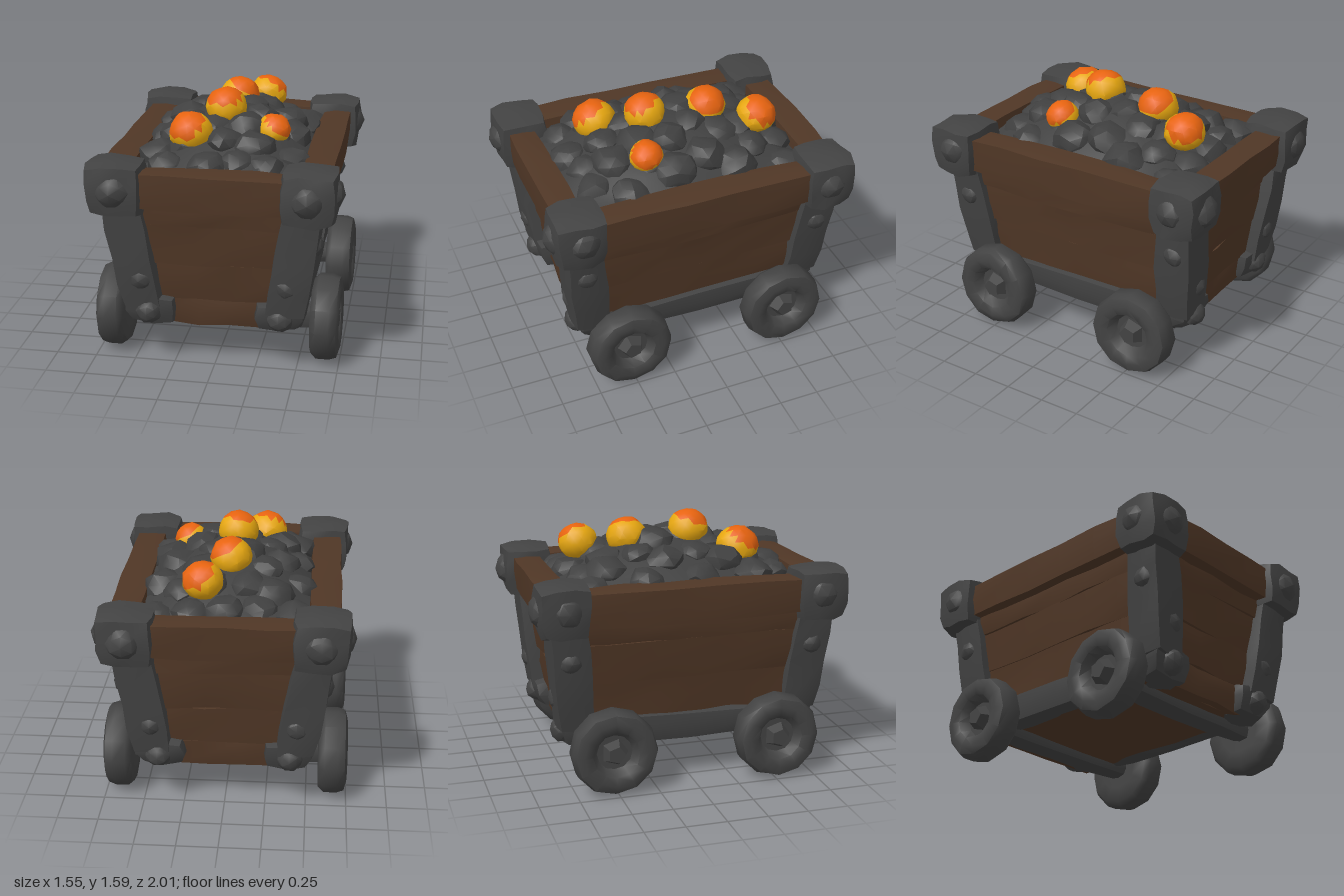
import * as THREE from 'three';
import { toCreasedNormals } from 'three/addons/utils/BufferGeometryUtils.js';

const material = (name, color) =>
  Object.assign(new THREE.MeshStandardMaterial({ color }), { name });

// Repeatable pseudo-random value in -1..1 for a point, so shared corners move together
function noise(x, y, z, seed) {
  const q = v => Math.round(v * 1000) / 1000;
  const s = Math.sin(q(x) * 127.1 + q(y) * 311.7 + q(z) * 74.7 + seed * 53.3) * 43758.5453;
  return (s - Math.floor(s)) * 2 - 1;
}

// Moves every vertex of a geometry by a rule, then creases its normals
function warp(geo, rule, crease = 0.7) {
  const flat = geo.index ? geo.toNonIndexed() : geo;
  const p = flat.attributes.position;
  for (let i = 0; i < p.count; i++) p.setXYZ(i, ...rule(p.getX(i), p.getY(i), p.getZ(i)));
  flat.deleteAttribute('uv');
  flat.deleteAttribute('normal');
  return toCreasedNormals(flat, crease);
}

// Worn, bevelled block between a bottom and a top rectangle: [x0, x1, z0, z1, y]
function blockGeometry(low, high, segs, bevel, rough, seed) {
  return warp(new THREE.BoxGeometry(1, 1, 1, ...segs), (x, y, z) => {
    const t = y + 0.5;
    const mix = i => THREE.MathUtils.lerp(low[i], high[i], t);
    const outer = [x, y, z].map(v => (Math.abs(v) > 0.499 ? Math.sign(v) : 0));
    const edges = outer.filter(v => v !== 0).length;
    const pull = edges > 1 ? bevel * (edges - 1) * 0.6 : 0;
    const at = [
      THREE.MathUtils.lerp(mix(0), mix(1), x + 0.5),
      mix(4),
      THREE.MathUtils.lerp(mix(2), mix(3), z + 0.5),
    ];
    return at.map((v, i) => v - outer[i] * pull + rough * noise(x, y, z, seed + i * 7));
  });
}

// Rounded rough stone
function stoneGeometry(radius, rough, seed, flatten = 1, detail = 1) {
  return warp(new THREE.IcosahedronGeometry(1, detail), (x, y, z) => {
    const r = radius * (1 + rough * noise(x, y, z, seed));
    return [x * r, y * r * flatten, z * r];
  }, 0.6);
}

export function createModel() {
  const model = new THREE.Group();
  model.name = 'mineCart';
  const wood = material('wood', 0x503726);
  const iron = material('iron', 0x434343);
  const coal = material('coal', 0x404040);
  const gold = material('gold', 0xe8a810);
  const ember = material('orange', 0xe86410);
  let seed = 1;

  const add = (name, geo, mat, x = 0, y = 0, z = 0) => {
    const mesh = new THREE.Mesh(geo, mat);
    mesh.name = name;
    mesh.position.set(x, y, z);
    model.add(mesh);
    return mesh;
  };
  // Mirrors a rectangle by the signs of x and z
  const flip = (r, sx, sz) => [
    Math.min(r[0] * sx, r[1] * sx), Math.max(r[0] * sx, r[1] * sx),
    Math.min(r[2] * sz, r[3] * sz), Math.max(r[2] * sz, r[3] * sz), r[4],
  ];
  const block = (name, mat, low, high, { sx = 1, sz = 1, segs = [2, 2, 2], bevel = 0.02, rough = 0.008 } = {}) =>
    add(name, blockGeometry(flip(low, sx, sz), flip(high, sx, sz), segs, bevel, rough, seed++), mat);

  // Inner lining and floor
  block('lining', iron, [-0.43, 0.43, -0.66, 0.66, 0.28], [-0.55, 0.55, -0.77, 0.77, 1.12], { rough: 0 });
  block('floor', wood, [-0.46, 0.46, -0.68, 0.68, 0.25], [-0.46, 0.46, -0.68, 0.68, 0.3],
    { segs: [3, 1, 5], rough: 0.006, bevel: 0.01 });

  // Overlapping plank walls, leaning outwards towards the top
  const sideX = y => 0.475 + (y - 0.25) * 0.175;
  const endZ = y => 0.72 + (y - 0.25) * 0.14;
  const seams = [0.25, 0.42, 0.66, 0.91, 1.07];
  for (const s of [-1, 1]) {
    for (let i = 0; i < 4; i++) {
      const a = seams[i], b = seams[i + 1] + 0.015;
      const xa = sideX(a), xb = sideX(b), za = endZ(a), zb = endZ(b);
      block('endPlank', wood, [-xa, xa, za - 0.1, za + 0.008, a], [-xb, xb, zb - 0.1, zb - 0.003, b],
        { sz: s, segs: [5, 2, 1], bevel: 0.008, rough: 0.01 });
      if (i > 0) {
        block('sidePlank', wood, [xa - 0.1, xa + 0.008, -za, za, a], [xb - 0.1, xb - 0.003, -zb, zb, b],
          { sx: s, segs: [1, 2, 6], bevel: 0.008, rough: 0.01 });
      }
    }
    // Wooden top rails and iron bottom rails
    block('endRail', wood, [-0.5, 0.5, 0.72, 0.905, 1.03], [-0.5, 0.5, 0.725, 0.915, 1.26],
      { sz: s, segs: [4, 2, 2], bevel: 0.012, rough: 0.006 });
    block('sideRail', wood, [0.49, 0.685, -0.72, 0.72, 1.03], [0.495, 0.695, -0.72, 0.72, 1.26],
      { sx: s, segs: [2, 2, 5], bevel: 0.012, rough: 0.006 });
    block('bottomRail', iron, [0.39, 0.54, -0.68, 0.68, 0.245], [0.4, 0.56, -0.68, 0.68, 0.43],
      { sx: s, segs: [2, 2, 4] });
    // Axle beam
    block('axle', iron, [-0.62, 0.62, 0.44, 0.61, 0.188], [-0.62, 0.62, 0.44, 0.61, 0.35],
      { sz: s, segs: [4, 2, 2], bevel: 0.025, rough: 0.005 });
  }

  // Corner irons: post, foot, cap and worn bumps
  for (const sx of [-1, 1]) {
    for (const sz of [-1, 1]) {
      const m = { sx, sz };
      block('cornerPost', iron, [0.305, 0.56, 0.59, 0.83, 0.36], [0.41, 0.665, 0.65, 0.895, 1.06],
        { ...m, segs: [2, 4, 2], bevel: 0.015, rough: 0.008 });
      block('cornerFoot', iron, [0.23, 0.535, 0.54, 0.79, 0.24], [0.225, 0.57, 0.56, 0.835, 0.46],
        { ...m, bevel: 0.03, rough: 0.009 });
      block('cornerCap', iron, [0.4, 0.73, 0.65, 0.95, 0.985], [0.4, 0.745, 0.64, 0.965, 1.305],
        { ...m, segs: [3, 3, 3], bevel: 0.02, rough: 0.009 });
      const bumps = [
        [0.652, 1.16, 0.79, 0.12], [0.57, 1.15, 0.882, 0.12],
        [0.57, 0.83, 0.76, 0.085], [0.44, 0.57, 0.785, 0.085], [0.4, 0.35, 0.77, 0.085],
      ];
      for (const [x, y, z, r] of bumps) {
        add('bump', stoneGeometry(r, 0.04, seed++), iron, x * sx, y, z * sz);
      }
    }
  }

  // Wheels: broad rim, dished face and a faceted hub
  const profile = [
    [0, 0.58], [0.14, 0.57], [0.235, 0.575], [0.267, 0.61], [0.267, 0.69], [0.25, 0.735],
    [0.2, 0.75], [0.145, 0.74], [0.11, 0.68], [0, 0.675],
  ].map(([r, x]) => new THREE.Vector2(r, x));
  for (const sx of [-1, 1]) {
    for (const sz of [-1, 1]) {
      const lathe = new THREE.LatheGeometry(profile, 12).rotateZ(-sx * Math.PI / 2);
      const k = seed++;
      const wheel = warp(lathe, (x, y, z) => {
        const n = 0.995 + 0.015 * noise(0, y, z, k);
        return [x, y * n, z * n];
      }, 0.9);
      add('wheel', wheel, iron, 0, 0.27, 0.52 * sz);
      const hub = new THREE.CylinderGeometry(0.055, 0.095, 0.08, 5).rotateZ(-sx * Math.PI / 2);
      add('hub', toCreasedNormals(hub, 0.3), iron, 0.7 * sx, 0.27, 0.52 * sz);
    }
  }

  // Heaped coal: a mound covered with lumps
  const heapY = (x, z) => 1.12 + 0.285 * (1 - (x / 0.56) ** 2) * (1 - (z / 0.78) ** 2);
  const mound = new THREE.PlaneGeometry(1.06, 1.5, 8, 10).rotateX(-Math.PI / 2);
  add('coalMound', warp(mound, (x, y, z) => [x, heapY(x, z) + 0.05 + 0.02 * noise(x, 0, z, 3), z]), coal);
  for (let row = 0; row < 8; row++) {
    const count = row % 2 ? 4 : 5;
    for (let col = 0; col < count; col++) {
      const k = seed++;
      const x = (col - (count - 1) / 2) * 0.195 + 0.03 * noise(row, col, 1, 5);
      const z = (row - 3.5) * 0.17 + 0.03 * noise(row, col, 2, 5);
      const r = 0.128 + 0.014 * noise(row, col, 3, 5);
      const lump = add('coalLump', stoneGeometry(r, 0.1, k, 0.78), coal,
        x, heapY(x, z) - 0.005 + 0.012 * noise(row, col, 4, 5), z);
      lump.rotation.y = k;
    }
  }

  // Gold nuggets with orange crowns: x, y, z, radius, crown direction, crown limit
  const nuggets = [
    [0.14, 1.395, -0.54, 0.125, [0.5, 0.75, -0.35], 0.42],
    [-0.01, 1.445, -0.26, 0.128, [0.5, 0.8, 0], 0.48],
    [-0.03, 1.475, 0.14, 0.13, [-0.05, 0.9, 0.3], 0.5],
    [0.285, 1.37, 0.25, 0.104, [0.5, 0.75, 0.1], 0.36],
    [-0.2, 1.38, 0.41, 0.135, [-0.3, 0.7, 0.45], 0.45],
  ];
  for (const [x, y, z, r, dir, limit] of nuggets) {
    const geo = stoneGeometry(r, 0.04, seed++, 0.93, 2);
    const p = geo.attributes.position;
    const crown = new THREE.Vector3(...dir).normalize();
    const faces = [[], []];
    for (let i = 0; i < p.count; i += 3) {
      const mid = new THREE.Vector3();
      for (let j = 0; j < 3; j++) mid.add(new THREE.Vector3().fromBufferAttribute(p, i + j));
      faces[mid.normalize().dot(crown) > limit ? 1 : 0].push(i, i + 1, i + 2);
    }
    geo.setIndex([...faces[0], ...faces[1]]);
    geo.addGroup(0, faces[0].length, 0);
    geo.addGroup(faces[0].length, faces[1].length, 1);
    add('goldNugget', geo, [gold, ember], x, y, z);
  }
  return model;
}
